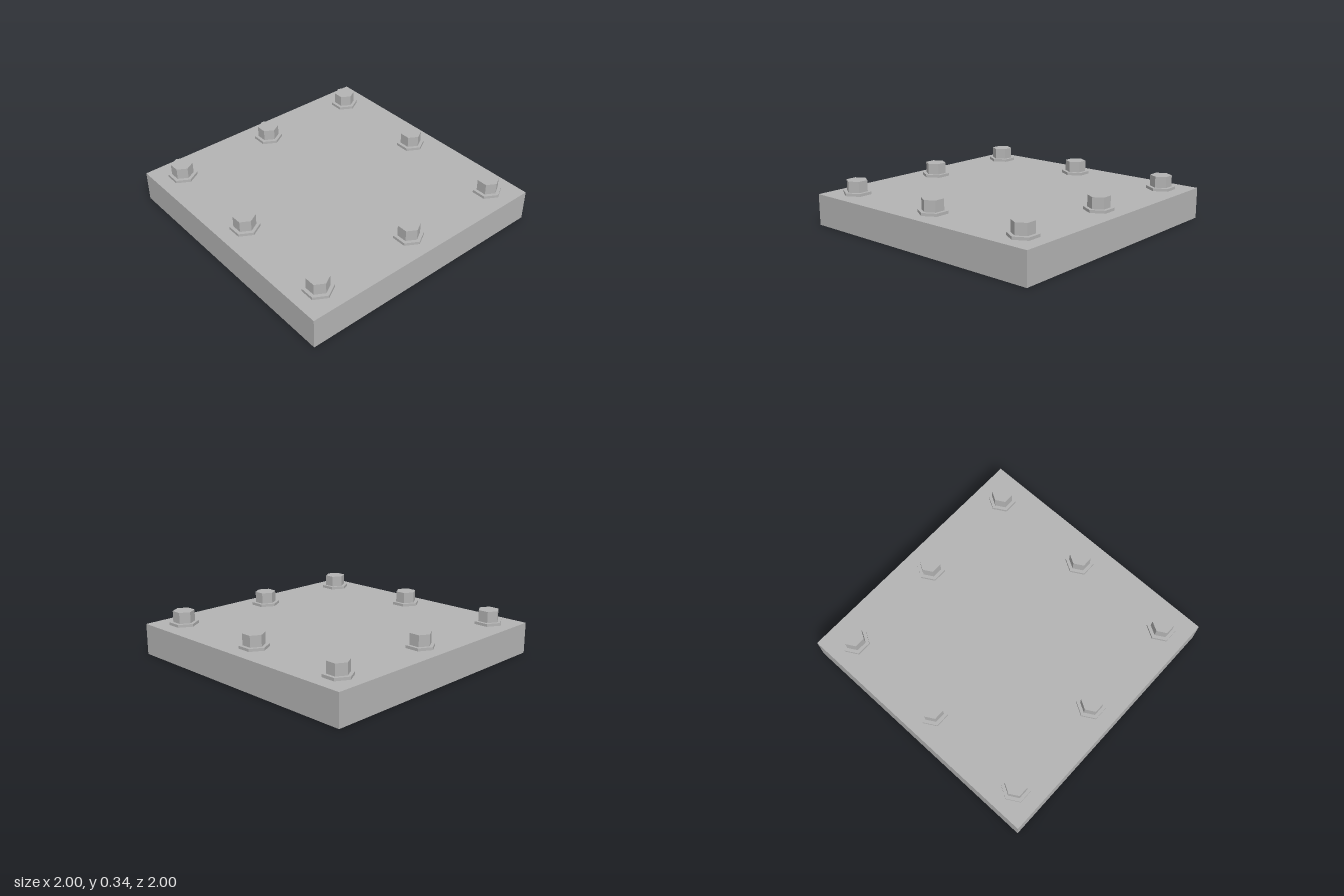
import * as THREE from 'three';

const PLATE_HEIGHT = 0.235;
const FLANGE_HEIGHT = 0.021;
const HEAD_HEIGHT = 0.084;
const BOLT_SPACING = 0.8;

export function createModel() {
  const steel = new THREE.MeshStandardMaterial({ color: 0xb4b4b4, flatShading: true });
  steel.name = 'steel grey';

  const model = new THREE.Group();
  model.name = 'boltedPlate';

  const addPart = (parent, name, geometry, y) => {
    const mesh = new THREE.Mesh(geometry, steel);
    mesh.name = name;
    mesh.position.y = y;
    parent.add(mesh);
  };

  // Hexagonal prism with two corners on the x axis
  const hexPrism = (radius, height) =>
    new THREE.CylinderGeometry(radius, radius, height, 6).rotateY(Math.PI / 6);

  // Square base slab
  addPart(model, 'plate', new THREE.BoxGeometry(2, PLATE_HEIGHT, 2), PLATE_HEIGHT / 2);

  // Eight bolts around the rim, none in the middle
  const flange = hexPrism(0.108, FLANGE_HEIGHT);
  const head = hexPrism(0.08, HEAD_HEIGHT);
  for (const i of [-1, 0, 1]) {
    for (const k of [-1, 0, 1]) {
      if (i === 0 && k === 0) continue;
      const bolt = new THREE.Group();
      bolt.name = 'bolt';
      bolt.position.set(i * BOLT_SPACING, PLATE_HEIGHT, k * BOLT_SPACING);
      addPart(bolt, 'boltFlange', flange, FLANGE_HEIGHT / 2);
      addPart(bolt, 'boltHead', head, FLANGE_HEIGHT + HEAD_HEIGHT / 2);
      model.add(bolt);
    }
  }
  return model;
}
